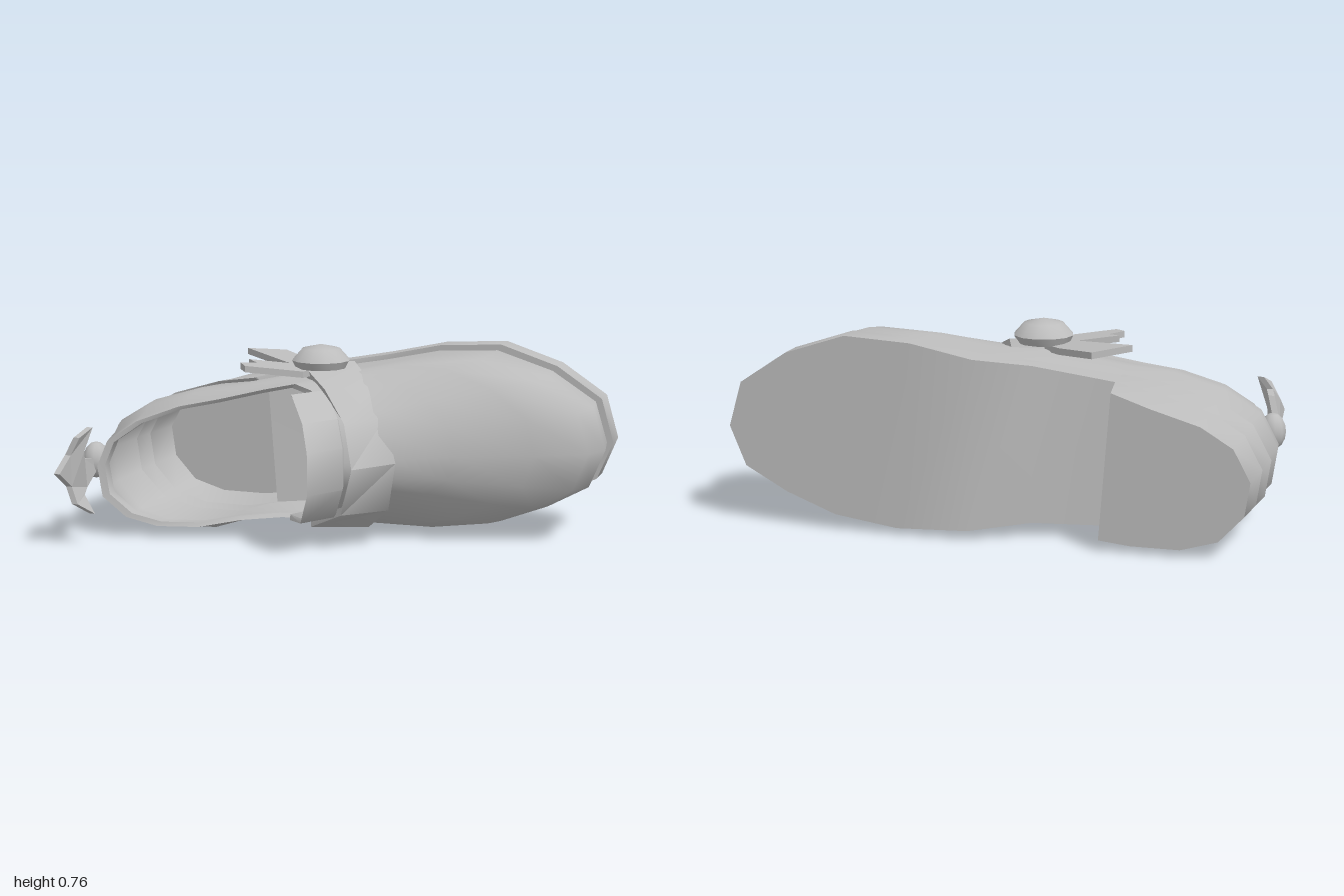
import * as THREE from 'three';
import { toCreasedNormals } from 'three/addons/utils/BufferGeometryUtils.js';

// Plan outline of the shoe (x, y), from the toe tip round through the heel.
const outline = [
  [0.99, 0.38], [0.94, 0.55], [0.76, 0.67], [0.53, 0.745], [0.28, 0.73], [0.05, 0.68],
  [-0.15, 0.65], [-0.44, 0.59], [-0.6, 0.57], [-0.8, 0.51], [-0.93, 0.43], [-1.0, 0.3],
  [-0.98, 0.16], [-0.88, 0.05], [-0.73, 0.005], [-0.53, 0.005], [-0.4, 0.045], [-0.15, 0.06],
  [0.07, 0.04], [0.34, 0.03], [0.58, 0.065], [0.77, 0.14], [0.93, 0.23],
];

// Edge of the foot opening (x, y, z), point for point with the outline.
const rim = [
  [0.03, 0.35, 0.17], [0.02, 0.43, 0.16], [0, 0.5, 0.13], [-0.04, 0.55, 0.09],
  [-0.1, 0.6, 0.04], [-0.17, 0.62, 0.03], [-0.28, 0.6, 0.08], [-0.45, 0.56, 0.13],
  [-0.6, 0.53, 0.17], [-0.76, 0.47, 0.22], [-0.87, 0.39, 0.26], [-0.91, 0.29, 0.27],
  [-0.89, 0.17, 0.27], [-0.8, 0.09, 0.25], [-0.69, 0.05, 0.2], [-0.53, 0.05, 0.16],
  [-0.37, 0.08, 0.11], [-0.22, 0.09, 0.05], [-0.1, 0.09, 0.03], [-0.05, 0.14, 0.07],
  [-0.01, 0.2, 0.12], [0.02, 0.26, 0.15], [0.03, 0.3, 0.17],
];

const lerp = THREE.MathUtils.lerp;

// Height along x from a short table of [x, z] pairs.
function at(x, table) {
  if (x <= table[0][0]) return table[0][1];
  for (let i = 1; i < table.length; i++) {
    const [x0, z0] = table[i - 1], [x1, z1] = table[i];
    if (x <= x1) return lerp(z0, z1, (x - x0) / (x1 - x0));
  }
  return table[table.length - 1][1];
}

const soleBottom = [[-0.4, -0.36], [-0.24, -0.4], [0.07, -0.535]];
const soleTop = [[-0.97, -0.22], [-0.45, -0.24], [-0.24, -0.32], [0.07, -0.43]];
const widest = [[-0.6, -0.05], [0.3, -0.27]];

// Skin a list of rings. Caps are strips across the end rings; the side face
// after ring point "gap" is left open.
function loft(rings, { capStart = false, capEnd = false, gap = -1, crease = 0.7 } = {}) {
  const n = rings[0].length, index = [];
  const quad = (a, b, c, d) => index.push(a, b, c, a, c, d);
  for (let j = 0; j < rings.length - 1; j++) {
    for (let i = 0; i < n; i++) {
      if (i === gap) continue;
      const k = (i + 1) % n;
      quad(j * n + i, j * n + k, (j + 1) * n + k, (j + 1) * n + i);
    }
  }
  const last = (rings.length - 1) * n;
  for (let i = 0; i < Math.floor(n / 2); i++) {
    const q = [i, i + 1, n - i - 1, (n - i) % n];
    if (capEnd) quad(...q.map((v) => v + last));
    if (capStart) quad(...q.reverse());
  }
  const g = new THREE.BufferGeometry();
  g.setAttribute('position', new THREE.Float32BufferAttribute(rings.flat(2), 3));
  g.setIndex(index);
  return toCreasedNormals(g, crease);
}

// Curved band: each section is [y, upper x, upper z, lower x, lower z].
function band(sections, thickness) {
  const inward = (p) => {
    const v = new THREE.Vector3(...p);
    const d = new THREE.Vector3(p[0] - 0.1, 0.36, -0.25).sub(v).setLength(thickness);
    return v.add(d).toArray();
  };
  return loft(sections.map(([y, hx, hz, lx, lz]) => {
    const hi = [hx, y, hz], lo = [lx, y, lz];
    return [lo, hi, inward(hi), inward(lo)];
  }), { capStart: true, capEnd: true, crease: 0.9 });
}

function plate(points, depth) {
  const shape = new THREE.Shape(points.map(([a, b]) => new THREE.Vector2(a, b)));
  return new THREE.ExtrudeGeometry(shape, { depth, bevelEnabled: false });
}

// Move every vertex by a rule.
function warp(g, rule) {
  const p = g.attributes.position;
  for (let i = 0; i < p.count; i++) {
    p.setXYZ(i, ...rule(p.getX(i), p.getY(i), p.getZ(i)));
  }
  g.computeVertexNormals();
  return g;
}

export function createModel() {
  const model = new THREE.Group();
  model.name = 'shoe';
  // The shoe is a hollow shell, seen from inside through the opening
  const grey = new THREE.MeshStandardMaterial({ color: 0xbcbcbc, side: THREE.DoubleSide });
  grey.name = 'grey';
  const add = (name, geometry) => {
    const mesh = new THREE.Mesh(geometry, grey);
    mesh.name = name;
    model.add(mesh);
    return mesh;
  };
  const inset = ([x, y], s, cx = 0, cy = 0.35) => [cx + (x - cx) * s, cy + (y - cy) * s];
  // Foot of the upper, set in a little from the sole edge
  const seam = ([x, y]) => [x * 0.975, lerp(0.35, y, 0.94), at(x, soleTop)];

  // Sole in front of the heel, arched up behind the ball of the foot
  const front = [...outline.slice(0, 8), ...outline.slice(16)];
  const soleRing = (table) => front.map(([x, y]) => [x, y, at(x, table)]);
  add('sole', loft([soleRing(soleBottom), soleRing(soleTop), front.map(seam)],
    { capStart: true, gap: 7 }));

  // Heel: closed block below, open to the sole above
  const back = outline.slice(7, 17);
  const heelRing = (s, z, shift) => back.map((p, i) => (
    i % 9 ? [...inset(p, s, -0.6, 0.28), z] : [p[0] - shift, p[1], z]));
  const heelMiddle = heelRing(0.95, -0.36, 0);
  add('heel', loft([heelRing(0.9, -0.535, 0.02), heelMiddle], { capStart: true }));
  add('heelSeat', loft([heelMiddle, heelRing(0.99, -0.225, 0), back.map(seam)], { gap: 9 }));

  // Upper: rings climbing from the sole edge to the opening
  const profile = [[0, 0], [0.05, 0.2], [0.25, 0.37], [0.56, 0.55], [0.8, 0.8], [1, 1]];
  const upper = [outline.map(seam)];
  for (const [a, b] of profile) {
    upper.push(outline.map(([x, y], i) => {
      const [rx, ry, rz] = rim[i];
      const side = x > 0 && y > 0.36 ? lerp(0.36, y, 0.95) : y;
      return [lerp(x, rx, a), lerp(side, ry, a), lerp(at(x, widest), rz, b)];
    }));
  }
  add('upper', loft(upper, { crease: 1.1 }));

  // Rolled edge round the opening
  const lip = (s, drop) => rim.map(([x, y, z]) => [...inset([x, y], s, -0.45, 0.33), z - drop]);
  add('collar', loft([rim, lip(0.94, 0.01), lip(0.95, 0.06)]));

  // Tongue standing behind the strap
  const tongue = [[0.6, 0.15], [0.52, 0.3], [0.42, 0.36], [0.26, 0.36], [0.13, 0.27], [0.1, 0.12]];
  add('tongue', band(tongue.map(([y, z]) => {
    const x = -0.14 + (z - 0.15) * 0.67;
    return [y, x, z, x + 0.09, z - 0.14];
  }), 0.03));

  // Instep strap
  const strap = [
    [0.69, -0.08, -0.17], [0.615, 0.08, -0.05], [0.51, 0.2, 0.02],
    [0.345, 0.245, 0.08], [0.15, 0.18, 0.04], [0.045, -0.01, -0.08],
  ];
  add('strap', band(strap.map(([y, hi, lo]) => [y, hi - 0.11, hi, lo + 0.175, lo]), 0.05));

  // Domed button on the side of the strap
  const dome = [[0, 0.66], [0.1, 0.67], [0.115, 0.7], [0.075, 0.745], [0, 0.762]];
  const button = toCreasedNormals(
    new THREE.LatheGeometry(dome.map(([r, y]) => new THREE.Vector2(r, y)), 12), 0.8);
  add('button', button).position.set(-0.11, 0, -0.1);

  // Ribbon ends fanning out from the button
  const ribbons = [
    [[-0.35, -0.35], [-0.48, -0.25], [-0.2, -0.07], [-0.12, -0.13], [-0.2, -0.23]],
    [[-0.39, -0.04], [-0.34, 0], [-0.39, 0.05], [-0.35, 0.1], [-0.14, 0.02], [-0.12, -0.1], [-0.23, -0.1]],
  ];
  for (const points of ribbons) {
    const g = plate(points.map(([x, z]) => [x, -z]).reverse(), 0.025);
    g.rotateX(-Math.PI / 2);
    add('ribbon', warp(g, (x, y, z) => [x, y + 0.645 - (x + 0.15) * 0.11, z]));
  }

  // Bead and leafy tail at the back of the heel
  const bead = add('bead', new THREE.SphereGeometry(0.052, 10, 8));
  bead.position.set(-0.95, 0.3, 0.2);
  bead.scale.set(1, 1.4, 1.1);
  const leaf = [
    [0.22, 0.27], [0.34, 0.22], [0.38, 0.2], [0.39, 0.13], [0.46, 0.18], [0.45, 0.245],
    [0.53, 0.31], [0.46, 0.37], [0.455, 0.44], [0.39, 0.47], [0.4, 0.42], [0.37, 0.4], [0.33, 0.33], [0.22, 0.31],
  ];
  const tail = plate(leaf, 0.025).rotateY(-Math.PI / 2);
  add('tail', warp(tail, (x, y, z) => [x - 0.935 + 2.5 * (y - 0.3) ** 2, y, z]));

  return model;
}
